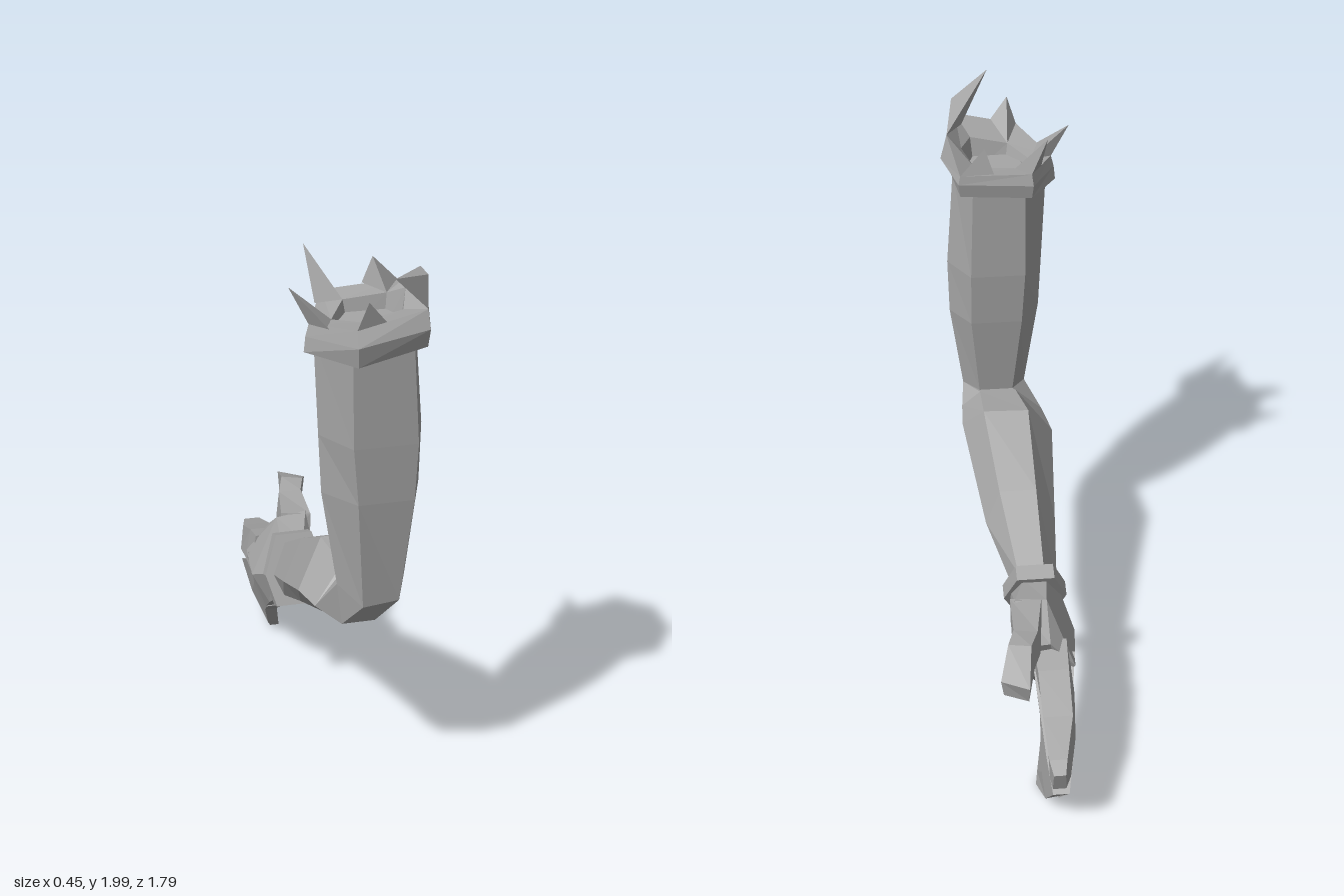
import * as THREE from 'three';
import { ConvexGeometry } from 'three/addons/geometries/ConvexGeometry.js';

const V = (p) => new THREE.Vector3(...p);

// Closed faceted loft through rings of points, wound outwards by its signed volume.
function loft(rings) {
  const n = rings[0].length;
  const tris = [];
  for (let r = 0; r < rings.length - 1; r++) {
    for (let i = 0; i < n; i++) {
      const j = (i + 1) % n;
      const [a, b, c, d] = [rings[r][i], rings[r][j], rings[r + 1][j], rings[r + 1][i]];
      tris.push([a, b, c], [a, c, d]);
    }
  }
  const first = rings[0], last = rings[rings.length - 1];
  for (let i = 1; i < n - 1; i++) {
    tris.push([first[0], first[i + 1], first[i]], [last[0], last[i], last[i + 1]]);
  }
  let volume = 0;
  for (const [a, b, c] of tris) volume += V(a).dot(V(b).cross(V(c)));
  if (volume < 0) tris.forEach((t) => t.reverse());
  const g = new THREE.BufferGeometry();
  g.setAttribute('position', new THREE.Float32BufferAttribute(tris.flat(2), 3));
  g.computeVertexNormals();
  return g;
}

export function createModel() {
  const group = new THREE.Group();
  const grey = new THREE.MeshStandardMaterial({ color: 0xa6a6a6, flatShading: true });
  grey.name = 'grey';
  const add = (name, geometry) => {
    const mesh = new THREE.Mesh(geometry, grey);
    mesh.name = name;
    group.add(mesh);
  };

  // Ring order: front left, front right, right, back right, back left, left.
  // Past the elbow the front edges become the underside.
  const elbow = [[0, .81, .705], [.12, .82, .7], [.155, .88, .63], [.1, .885, .56], [-.02, .885, .56], [-.07, .87, .64]];
  add('upperArm', loft([
    [[-.06, 1.76, .78], [.13, 1.76, .78], [.18, 1.76, .61], [.12, 1.76, .48], [-.06, 1.76, .48], [-.145, 1.72, .63]],
    [[-.05, 1.4, .765], [.155, 1.4, .765], [.205, 1.4, .615], [.13, 1.4, .49], [-.06, 1.4, .49], [-.13, 1.4, .63]],
    [[-.03, 1.2, .75], [.15, 1.2, .75], [.2, 1.2, .615], [.13, 1.2, .51], [-.05, 1.2, .51], [-.12, 1.2, .63]],
    elbow,
  ]));
  add('forearm', loft([
    elbow,
    [[-.05, .715, .63], [.06, .715, .63], [.165, .82, .56], [.1, .887, .545], [-.03, .887, .545], [-.13, .77, .59]],
    [[-.07, .69, .51], [.06, .69, .51], [.172, .81, .46], [.1, .91, .38], [-.06, .905, .38], [-.155, .76, .46]],
    [[-.07, .525, .13], [.04, .525, .13], [.12, .63, .09], [.07, .755, .1], [-.06, .755, .1], [-.13, .61, .13]],
    [[-.08, .43, -.09], [0, .43, -.09], [.05, .52, -.13], [.03, .595, -.17], [-.06, .595, -.17], [-.11, .5, -.12]],
  ]));

  // Wristband: a tilted six-sided collar
  const wristRing = (bot, top, grow) => {
    const at = (x, t) => [x, bot[0] + (top[0] - bot[0]) * t, bot[1] + (top[1] - bot[1]) * t];
    return [at(-.09 - grow, 0), at(.015 + grow, 0), at(.06 + grow, .45),
      at(.02 + grow, 1), at(-.07 - grow, 1), at(-.12 - grow, .45)];
  };
  add('wristband', loft([wristRing([.4, -.065], [.63, -.17], .02), wristRing([.38, -.11], [.61, -.225], .02)]));

  // Hand
  add('palm', loft([
    wristRing([.42, -.1], [.585, -.19], -.005),
    [[-.1, .32, -.24], [-.02, .32, -.24], [.07, .49, -.3], [.06, .62, -.35], [-.05, .61, -.34], [-.155, .42, -.28]],
    [[-.09, .24, -.35], [-.03, .24, -.35], [.03, .38, -.45], [.05, .53, -.49], [-.05, .52, -.47], [-.135, .42, -.47]],
  ]));
  add('thumb', loft([
    [[-.04, .5, -.33], [.07, .49, -.32], [.075, .615, -.33], [-.03, .62, -.35]],
    [[-.01, .525, -.52], [.08, .525, -.5], [.08, .625, -.51], [0, .62, -.52]],
    [[.02, .545, -.62], [.1, .54, -.59], [.105, .63, -.59], [.03, .635, -.61]],
    [[.05, .505, -.735], [.13, .51, -.7], [.14, .575, -.71], [.05, .58, -.765]],
  ]));
  add('indexFinger', loft([
    [[-.13, .36, -.42], [0, .36, -.42], [.01, .5, -.42], [-.11, .5, -.42]],
    [[-.125, .35, -.54], [-.01, .35, -.54], [.0, .465, -.54], [-.105, .465, -.54]],
    [[-.11, .3, -.7], [-.015, .3, -.7], [0, .4, -.7], [-.1, .4, -.7]],
    [[-.08, .25, -.83], [-.01, .25, -.83], [-.005, .345, -.85], [-.065, .345, -.85]],
    [[-.06, .235, -.87], [-.015, .235, -.87], [-.015, .32, -.9], [-.055, .32, -.9]],
  ]));
  // Joined lower fingers, fanning out to a thin edge: top, middle and bottom on each side
  const fanRing = (top, mid, bot, left, right) => [
    ...[top, mid, bot].map((p, i) => [left[i], ...p]),
    ...[bot, mid, top].map((p, i) => [right[2 - i], ...p]),
  ];
  add('lowerFingers', loft([
    fanRing([.44, -.42], [.36, -.38], [.25, -.33], [-.14, -.13, -.09], [.01, 0, -.03]),
    fanRing([.345, -.53], [.25, -.51], [.15, -.48], [-.12, -.1, -.065], [0, -.01, -.02]),
    fanRing([.24, -.73], [.13, -.67], [.04, -.57], [-.1, -.075, -.035], [-.01, 0, .005]),
    fanRing([.18, -.84], [.075, -.745], [.008, -.6], [-.075, -.05, -.02], [-.02, -.005, .012]),
  ]));

  // Torn cuff: outer band folding over a hollow inside
  const upper = [[-.06, 1.82, .83], [.155, 1.87, .83], [.2, 1.91, .585], [.165, 1.82, .45], [-.08, 1.81, .46], [-.165, 1.78, .65]];
  const inner = [[-.02, 1.8, .72], [.11, 1.83, .72], [.15, 1.85, .6], [.11, 1.81, .53], [-.03, 1.8, .53], [-.09, 1.78, .63]];
  add('cuff', loft([
    [[-.05, 1.73, .77], [.13, 1.77, .77], [.18, 1.79, .6], [.12, 1.77, .48], [-.06, 1.75, .48], [-.14, 1.71, .63]],
    [[-.055, 1.7, .83], [.16, 1.745, .82], [.195, 1.78, .59], [.165, 1.74, .455], [-.08, 1.72, .46], [-.18, 1.69, .65]],
    [[-.06, 1.77, .85], [.16, 1.81, .845], [.222, 1.82, .59], [.172, 1.79, .445], [-.085, 1.77, .45], [-.175, 1.74, .65]],
    upper,
    inner,
    inner.map(([x, y, z]) => [x * .8 + .01, 1.7, z * .8 + .125]),
  ]));

  // Torn points standing on the cuff's edge
  const spikes = [
    [upper[1], upper[2], [.14, 1.88, .72], [.17, 1.955, .77], [.035, 2, .895]],
    [upper[0], [.03, 1.84, .83], inner[0], [-.03, 1.915, .85]],
    [upper[5], [-.12, 1.79, .73], inner[5], [-.225, 1.9, .64]],
    [upper[4], [-.12, 1.8, .54], inner[4], [-.13, 1.955, .43]],
    [upper[3], [.05, 1.82, .455], inner[3], [.08, 1.91, .47]],
  ];
  for (const points of spikes) add('cuffSpike', new ConvexGeometry(points.map(V)));

  return group;
}
